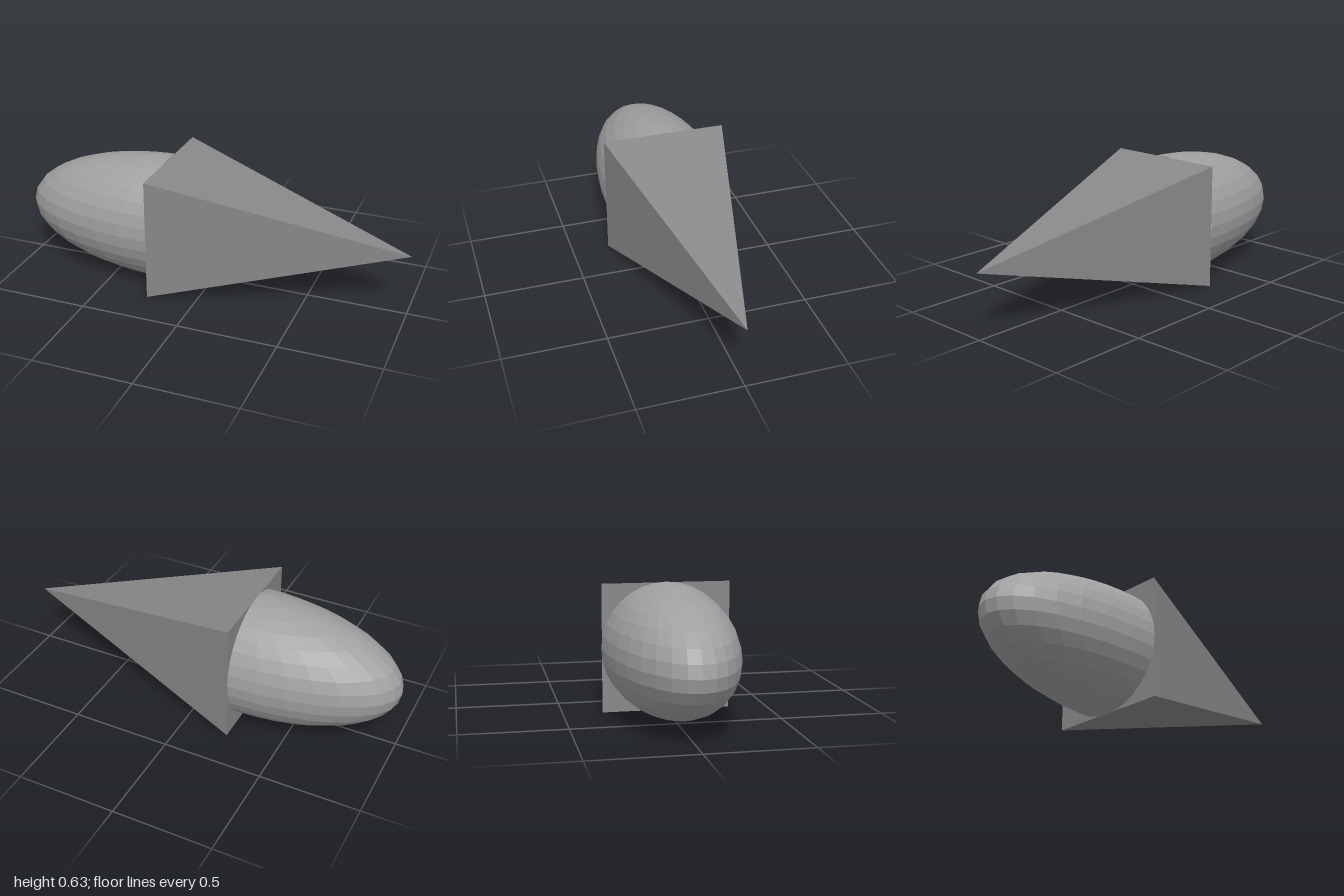
import * as THREE from 'three';

export function createModel() {
  const group = new THREE.Group();
  const joinX = -0.24;   // plane where body and point meet
  const radius = 0.314;
  const halfSide = 0.311;
  const length = 1 - joinX;

  // Rounded body: half of a stretched sphere, poles up and down
  const bodyGeometry = new THREE.SphereGeometry(radius, 16, 16, -Math.PI / 2, Math.PI);
  bodyGeometry.scale((1 + joinX) / radius, 1, 1);
  const body = new THREE.Mesh(
    bodyGeometry,
    new THREE.MeshStandardMaterial({ color: 0xa0a0a0, flatShading: true, side: THREE.DoubleSide })
  );
  body.name = 'roundedBody';
  body.position.set(joinX, radius, 0);
  group.add(body);

  // Square pyramid lying on its side, tip towards +x
  const pointGeometry = new THREE.ConeGeometry(halfSide * Math.SQRT2, length, 4);
  pointGeometry.rotateY(Math.PI / 4);
  pointGeometry.rotateZ(-Math.PI / 2);
  const point = new THREE.Mesh(
    pointGeometry,
    new THREE.MeshStandardMaterial({ color: 0x888888, flatShading: true })
  );
  point.name = 'pyramidPoint';
  point.position.set(joinX + length / 2, radius, 0);
  group.add(point);

  return group;
}
